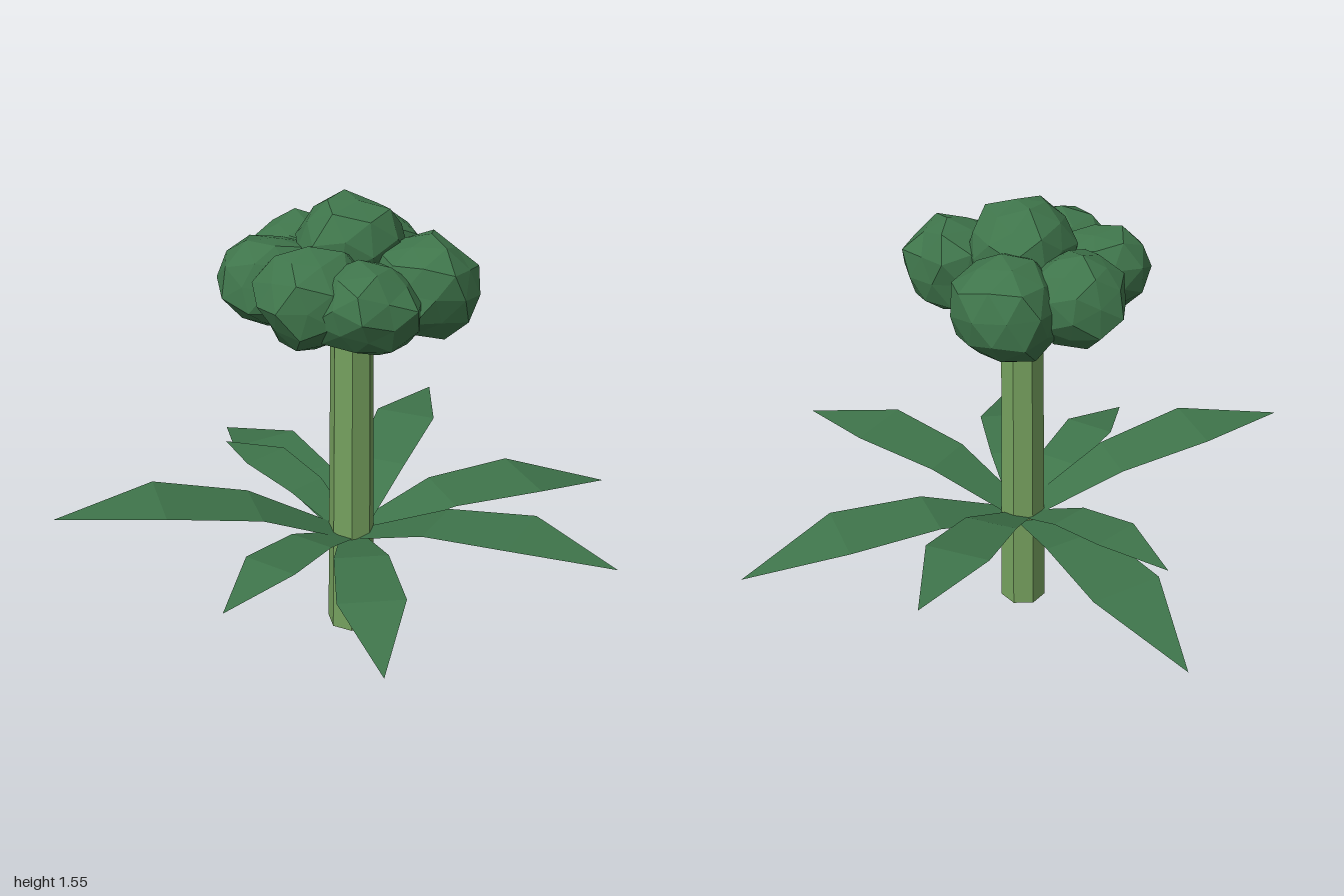
import * as THREE from 'three';

const stemMat = new THREE.MeshStandardMaterial({ color: 0x75a05e, flatShading: true });
const leafMat = new THREE.MeshStandardMaterial({ color: 0x3f754b, flatShading: true, side: THREE.DoubleSide });
stemMat.name = 'stem green';
leafMat.name = 'leaf green';

const CX = -0.018, CZ = 0.09; // stem axis

// Repeatable noise from a position, so shared corners move together
function noise(x, y, z, seed) {
  const s = Math.sin(Math.round(x * 100) * 12.9898 + Math.round(y * 100) * 78.233 + Math.round(z * 100) * 37.719 + seed * 4.1) * 43758.5453;
  return s - Math.floor(s);
}

// Faceted lump of the flower head
function makeFloret([x, y, z, rx, ry, rz], seed) {
  const geo = new THREE.IcosahedronGeometry(1, 1);
  const p = geo.attributes.position;
  const v = new THREE.Vector3();
  const turn = new THREE.Euler(seed * 1.3, seed * 2.1, seed * 0.7);
  for (let i = 0; i < p.count; i++) {
    v.fromBufferAttribute(p, i);
    const k = 0.88 + 0.2 * noise(v.x, v.y, v.z, seed);
    v.multiplyScalar(k).applyEuler(turn);
    p.setXYZ(i, v.x * rx, v.y * ry, v.z * rz);
  }
  geo.computeVertexNormals();
  const mesh = new THREE.Mesh(geo, leafMat);
  mesh.name = 'floret';
  mesh.position.set(x, y, z);
  return mesh;
}

// Leaf reaching to a tip: four cross rows, arched, with a linear lift
function makeLeaf([tipX, tipZ, lift]) {
  const dx = tipX - CX, dz = tipZ - CZ;
  const L = Math.hypot(dx, dz), ux = dx / L, uz = dz / L;
  const rows = [[0.03, 0.05, 0], [0.34, 0.108, 0.085], [0.66, 0.13, 0.085], [1, 0, -0.01]];
  const pos = [];
  for (const [t, w, h] of rows) {
    for (const s of w ? [1, -1] : [0]) {
      pos.push(CX + L * (ux * t - uz * w * s), 0.358 + L * (h + lift * t), CZ + L * (uz * t + ux * w * s));
    }
  }
  const geo = new THREE.BufferGeometry();
  geo.setAttribute('position', new THREE.Float32BufferAttribute(pos, 3));
  geo.setIndex([0, 2, 1, 1, 2, 3, 2, 4, 3, 3, 4, 5, 4, 6, 5]);
  geo.computeVertexNormals();
  const mesh = new THREE.Mesh(geo, leafMat);
  mesh.name = 'leaf';
  return mesh;
}

export function createModel() {
  const model = new THREE.Group();
  model.name = 'plant';

  // Seven-sided tapering stem
  const stem = new THREE.Mesh(new THREE.CylinderGeometry(0.07, 0.083, 1.25, 7), stemMat);
  stem.name = 'stem';
  stem.rotation.y = Math.PI;
  stem.position.set(CX, 0.625, CZ);
  model.add(stem);

  // Leaves: tip x, tip z, lift
  const leaves = new THREE.Group();
  leaves.name = 'leaves';
  [
    [-0.09, -0.89, -0.01], [0.62, -0.48, 0.226], [1.0, 0.17, 0], [0.5, 0.88, 0.174],
    [-0.31, 0.87, 0.034], [-0.64, 0.46, 0.135], [-1.0, -0.06, 0.247], [-0.22, -0.56, 0.157],
  ].forEach((l) => leaves.add(makeLeaf(l)));
  model.add(leaves);

  // Head: core, crown and a ring of florets (centre, radii)
  const head = new THREE.Group();
  head.name = 'head';
  [
    [-0.04, 1.3, 0.07, 0.22, 0.12, 0.24],
    [-0.01, 1.39, 0.06, 0.18, 0.165, 0.18],
    [-0.08, 1.3, -0.17, 0.165, 0.155, 0.165],
    [0.14, 1.28, -0.11, 0.175, 0.165, 0.19],
    [-0.25, 1.29, 0.0, 0.175, 0.15, 0.165],
    [-0.21, 1.3, 0.2, 0.175, 0.16, 0.17],
    [-0.08, 1.28, 0.32, 0.18, 0.14, 0.165],
    [0.14, 1.3, 0.26, 0.175, 0.165, 0.185],
  ].forEach((f, i) => head.add(makeFloret(f, i + 1)));
  model.add(head);

  return model;
}
